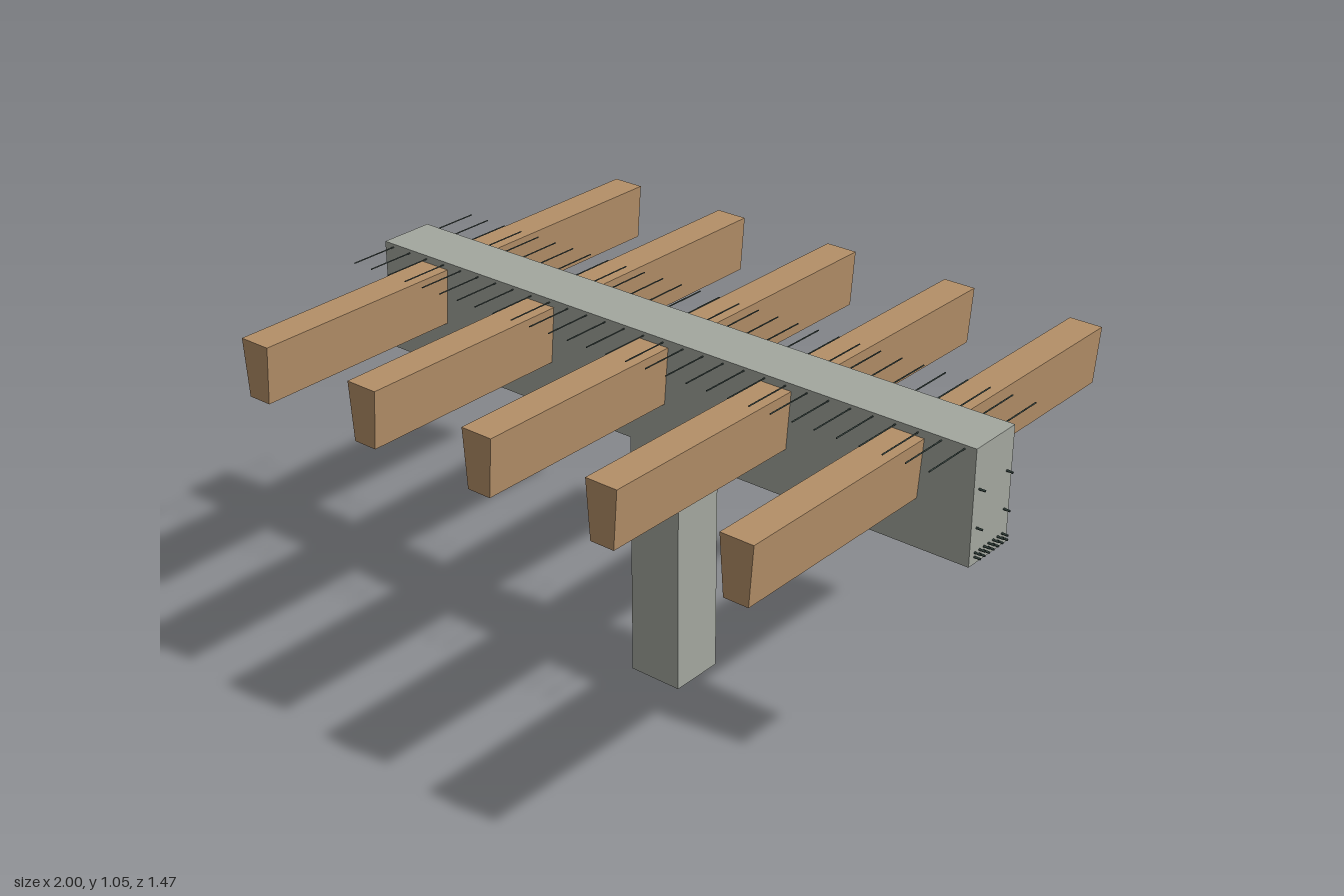
import * as THREE from 'three';

const concrete = new THREE.MeshStandardMaterial({ color: 0xa3a79f });
const timber = new THREE.MeshStandardMaterial({ color: 0xb48f68 });
const steel = new THREE.MeshStandardMaterial({ color: 0x34443f });

export function createModel() {
  const group = new THREE.Group();
  const add = (name, geometry, material, x, y, z) => {
    const mesh = new THREE.Mesh(geometry, material);
    mesh.name = name;
    mesh.position.set(x, y, z);
    group.add(mesh);
  };

  // T-shaped support: square column under a deep beam
  add('column', new THREE.BoxGeometry(0.165, 0.73, 0.165), concrete, 0, 0.365, 0);
  add('beam', new THREE.BoxGeometry(1.964, 0.32, 0.165), concrete, 0, 0.89, 0);

  // Joists, narrower at the bottom, passing through the beam
  const section = new THREE.Shape([
    new THREE.Vector2(-0.036, 0), new THREE.Vector2(0.036, 0),
    new THREE.Vector2(0.048, 0.164), new THREE.Vector2(-0.048, 0.164),
  ]);
  const joist = new THREE.ExtrudeGeometry(section, { depth: 1.474, bevelEnabled: false });
  joist.translate(0, 0, -0.737);
  for (let i = -2; i <= 2; i++) add('joist', joist, timber, i * 0.394, 0.865, 0);

  // Thin cross bars sticking out of both beam faces near the top
  const crossBar = new THREE.CylinderGeometry(0.002, 0.002, 0.46, 6).rotateX(Math.PI / 2);
  for (let i = 0; i < 30; i++) add('crossBar', crossBar, steel, -0.951 + i * 0.0655, 1.04, 0);

  // Long reinforcing bars, just showing at the beam ends
  const longBar = new THREE.CylinderGeometry(0.003, 0.003, 2, 6).rotateZ(Math.PI / 2);
  for (const y of [0.75, 0.762]) {
    for (let i = -3; i <= 3; i++) add('bottomBar', longBar, steel, 0, y, i * 0.02);
  }
  for (const y of [0.83, 0.935]) {
    for (const z of [-0.06, 0.06]) add('sideBar', longBar, steel, 0, y, z);
  }
  return group;
}
